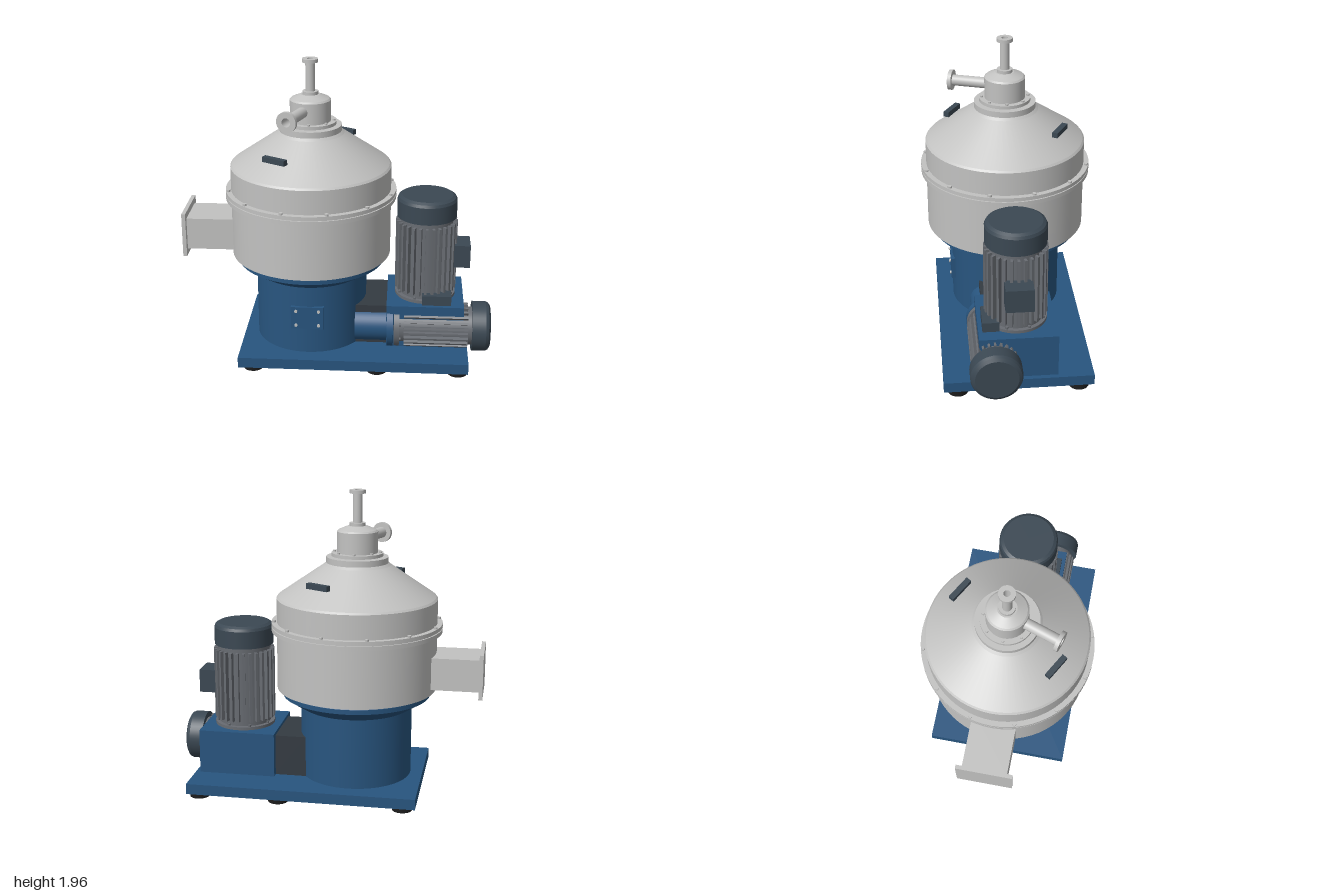
import * as THREE from 'three';
import { mergeGeometries } from 'three/addons/utils/BufferGeometryUtils.js';

const mat = (name, color) => {
  const m = new THREE.MeshStandardMaterial({ color });
  m.name = name;
  return m;
};

export function createModel() {
  const steel = mat('light steel', 0xc2c2c1);
  const blue = mat('machine blue', 0x28557f);
  const grey = mat('motor grey', 0x686c72);
  const slate = mat('dark slate', 0x3b4853);
  const dark = mat('guard dark', 0x343b42);
  const rubber = mat('black rubber', 0x1c1c1c);

  const model = new THREE.Group();
  model.name = 'discSeparator';
  const AX = -0.178; // vessel axis

  const add = (parent, name, geometry, material, x = 0, y = 0, z = 0) => {
    const mesh = new THREE.Mesh(geometry, material);
    mesh.name = name;
    mesh.position.set(x, y, z);
    parent.add(mesh);
    return mesh;
  };
  // box given by its limits on each axis
  const box = (name, material, [x0, x1], [y0, y1], [z0, z1]) =>
    add(model, name, new THREE.BoxGeometry(x1 - x0, y1 - y0, z1 - z0), material,
      (x0 + x1) / 2, (y0 + y1) / 2, (z0 + z1) / 2);
  // turned solid with sharp edges: inner profile points are doubled
  const turned = (profile, segments = 64) => {
    const pts = [];
    profile.forEach(([r, y], i) => {
      pts.push(new THREE.Vector2(r, y));
      if (i > 0 && i < profile.length - 1) pts.push(new THREE.Vector2(r, y));
    });
    return new THREE.LatheGeometry(pts, segments);
  };
  // ring of bolt heads around the y axis
  const bolts = (count, ring, y, r, h, offset = 0) => {
    const list = [];
    for (let i = 0; i < count; i++) {
      const a = offset + (i / count) * Math.PI * 2;
      list.push(new THREE.CylinderGeometry(r, r, h, 6)
        .translate(Math.cos(a) * ring, y + h / 2, Math.sin(a) * ring));
    }
    return mergeGeometries(list);
  };

  // Base plate and feet
  box('basePlate', blue, [-0.62, 0.855], [0.038, 0.107], [-0.47, 0.47]);
  for (const x of [-0.53, 0.27, 0.79])
    for (const z of [-0.38, 0.38])
      add(model, 'foot', new THREE.CylinderGeometry(0.064, 0.064, 0.04, 24), rubber, x, 0.02, z);

  // Pedestal with flared collar
  add(model, 'pedestal', turned([
    [0, 0.1], [0.362, 0.1], [0.362, 0.565], [0.48, 0.64], [0.48, 0.67], [0.465, 0.687], [0, 0.687],
  ]), blue, AX);

  // Inspection cover with four screws
  box('inspectionCover', blue, [-0.283, -0.072], [0.28, 0.432], [0.34, 0.374]);
  for (const x of [-0.25, -0.105])
    for (const y of [0.307, 0.405])
      add(model, 'coverScrew', new THREE.CylinderGeometry(0.01, 0.01, 0.012, 12)
        .rotateX(Math.PI / 2), steel, x, y, 0.378);

  // Vessel: bowl, clamp ring and conical hood
  add(model, 'bowl', turned([[0, 0.685], [0.516, 0.685], [0.516, 1.07], [0, 1.07]]), steel, AX);
  add(model, 'clampRing', turned([
    [0, 1.063], [0.55, 1.063], [0.55, 1.09], [0.54, 1.09], [0.54, 1.096],
    [0.55, 1.096], [0.55, 1.12], [0, 1.12],
  ]), steel, AX);
  add(model, 'clampBolts', bolts(12, 0.535, 1.12, 0.013, 0.013, Math.PI / 12), steel, AX);
  add(model, 'hood', turned([
    [0.516, 1.115], [0.516, 1.275], [0.505, 1.287], [0.215, 1.487], [0.198, 1.502], [0.198, 1.54], [0, 1.54],
  ]), steel, AX);

  // Feed head on top of the hood
  add(model, 'headFlange', turned([[0, 1.535], [0.165, 1.545], [0.165, 1.566], [0, 1.566]]), steel, AX);
  add(model, 'headBolts', bolts(8, 0.148, 1.566, 0.01, 0.01), steel, AX);
  add(model, 'feedHead', turned([
    [0.13, 1.56], [0.13, 1.7], [0.12, 1.71], [0.06, 1.735], [0, 1.735],
  ]), steel, AX);

  // Open flanged pipe along +y, used upright and sideways
  const pipe = (length, r, bore, flangeR, t) => turned([
    [r, 0], [r, length - t], [flangeR, length - t], [flangeR, length],
    [bore, length], [bore, length - 0.12], [0, length - 0.12],
  ], 32);
  add(model, 'inletPipe', pipe(0.23, 0.03, 0.02, 0.051, 0.022), steel, AX, 1.73);
  add(model, 'inletCollar', turned([[0, 0], [0.05, 0], [0.05, 0.022], [0, 0.022]], 32), steel, AX, 1.733);
  const outlet = add(model, 'outletPipe', pipe(0.365, 0.035, 0.028, 0.065, 0.024), steel, AX, 1.645, 0);
  outlet.quaternion.setFromUnitVectors(new THREE.Vector3(0, 1, 0),
    new THREE.Vector3(-0.115, 0, 0.337).normalize());

  // Two lifting handles on the cone
  for (const s of [1, -1]) {
    const handle = add(model, 'liftingHandle', new THREE.BoxGeometry(0.165, 0.034, 0.036), slate,
      AX - s * 0.192, 1.399, s * 0.333);
    handle.rotation.y = -Math.PI / 6;
  }

  // Rectangular discharge duct
  box('dischargeDuct', steel, [-0.98, -0.6], [0.722, 0.93], [-0.144, 0.144]);
  box('dischargeFlange', steel, [-1, -0.975], [0.682, 0.972], [-0.18, 0.18]);

  // Gearbox and coupling guard
  box('gearbox', blue, [0.325, 0.825], [0.1, 0.395], [-0.245, 0.245]);
  box('couplingGuard', dark, [0.12, 0.335], [0.1, 0.375], [-0.2, 0.2]);

  // Finned motor built along +y
  const motor = (name, o) => {
    const g = new THREE.Group();
    g.name = name;
    add(g, 'motorFlange', turned([
      [0, o.flange[0]], [o.flangeR, o.flange[0]], [o.flangeR, o.flange[1]], [0, o.flange[1]],
    ], 48), grey);
    add(g, 'flangeBolts', bolts(8, o.flangeR - 0.016, o.flange[1], 0.01, 0.012, Math.PI / 8), grey);
    add(g, 'motorCore', turned([
      [o.coreR, o.flange[1] - 0.005], [o.coreR, o.cap[0] + 0.01],
    ], 48), grey);
    const fins = [];
    const depth = o.finR - o.coreR + 0.02;
    for (let i = 0; i < o.count; i++) {
      fins.push(new THREE.BoxGeometry(depth, o.fins[1] - o.fins[0], o.finT)
        .translate(o.finR - depth / 2, (o.fins[0] + o.fins[1]) / 2, 0)
        .rotateY((i / o.count) * Math.PI * 2));
    }
    add(g, 'coolingFins', mergeGeometries(fins), grey);
    const [c0, c1] = o.cap, R = o.capR;
    add(g, 'fanCover', turned([
      [0, c0], [R, c0], [R, c1 - 0.03], [R - 0.008, c1 - 0.012], [R - 0.028, c1], [0, c1],
    ], 48), slate);
    model.add(g);
    return g;
  };

  // Upright main motor
  motor('uprightMotor', {
    flange: [0, 0.02], flangeR: 0.198, coreR: 0.172, finR: 0.2, finT: 0.017, count: 28,
    fins: [0.05, 0.516], cap: [0.546, 0.69], capR: 0.193,
  }).position.set(0.574, 0.395, 0);
  box('uprightTerminalBox', slate, [0.74, 0.86], [0.61, 0.762], [-0.087, 0.087]);

  // Horizontal motor with blue adapter
  const side = motor('horizontalMotor', {
    flange: [0.045, 0.08], flangeR: 0.148, coreR: 0.125, finR: 0.15, finT: 0.014, count: 24,
    fins: [0.11, 0.525], cap: [0.552, 0.67], capR: 0.162,
  });
  side.position.set(0.33, 0.225, 0.15);
  side.rotation.z = -Math.PI / 2;
  add(side, 'adapter', turned([
    [0, -0.21], [0.112, -0.21], [0.112, 0], [0.15, 0], [0.15, 0.04], [0, 0.046],
  ], 48), blue);
  box('horizontalTerminalBox', slate, [0.553, 0.742], [0.34, 0.46], [0.115, 0.22]);

  return model;
}
